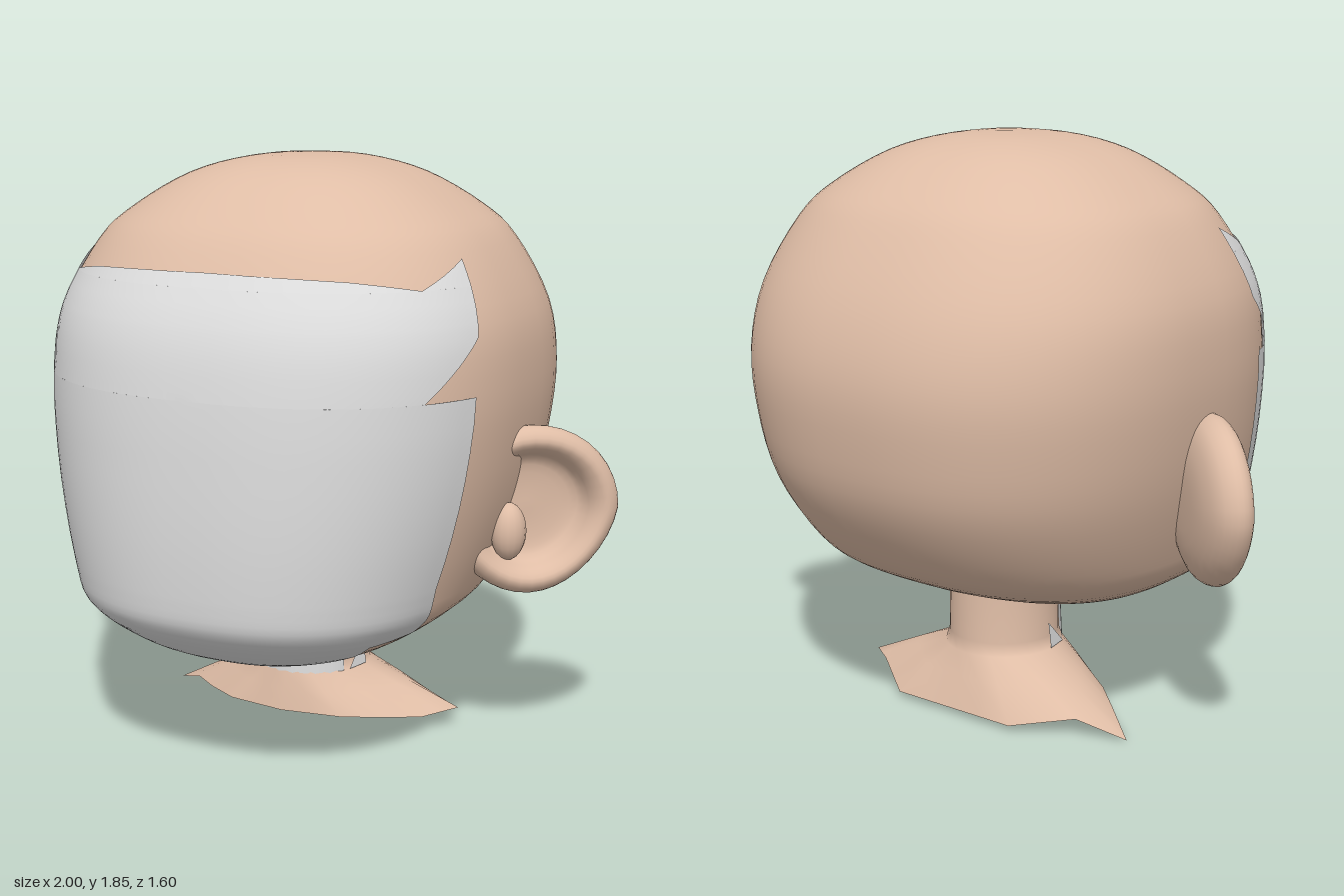
import * as THREE from 'three';
import { mergeVertices } from 'three/addons/utils/BufferGeometryUtils.js';

const N = 2.4; // squareness of the skull's horizontal sections

// skull sections: height, half width, front z, back z
const SECTIONS = [
  [0.32, 0, 0.27, 0.27], [0.325, 0.18, 0.42, 0.12], [0.35, 0.27, 0.53, 0], [0.4, 0.43, 0.64, -0.2],
  [0.5, 0.58, 0.765, -0.46], [0.6, 0.635, 0.79, -0.6], [0.8, 0.7, 0.795, -0.735], [1.0, 0.74, 0.787, -0.785],
  [1.2, 0.757, 0.77, -0.793], [1.4, 0.735, 0.72, -0.735], [1.6, 0.635, 0.6, -0.615], [1.7, 0.53, 0.5, -0.52],
  [1.8, 0.36, 0.345, -0.36], [1.85, 0.18, 0.18, -0.2], [1.863, 0, -0.03, -0.03],
];

// smooth the sections into a dense table
function denseSections(steps) {
  const curve = (k) => new THREE.CatmullRomCurve3(
    SECTIONS.map((s) => new THREE.Vector3(s[1], s[0], s[k])), false, 'catmullrom', 0.5);
  const front = curve(2), back = curve(3);
  return Array.from({ length: steps + 1 }, (_, i) => {
    const a = front.getPoint(i / steps), b = back.getPoint(i / steps);
    return { y: a.y, w: Math.max(a.x, 0), c: (a.z + b.z) / 2, d: Math.max((a.z - b.z) / 2, 0) };
  });
}

function sectionAt(table, y) {
  let i = 0;
  while (i < table.length - 2 && table[i + 1].y < y) i++;
  const a = table[i], b = table[i + 1], L = THREE.MathUtils.lerp;
  const t = THREE.MathUtils.clamp((y - a.y) / (b.y - a.y || 1), 0, 1);
  return { y, w: L(a.w, b.w, t), c: L(a.c, b.c, t), d: L(a.d, b.d, t) };
}

const power = (v, e) => Math.sign(v) * Math.abs(v) ** e;
const pointOn = (s, angle, lift = 0) => [
  (s.w + lift) * power(Math.sin(angle), 2 / N), s.y, s.c + (s.d + lift) * power(Math.cos(angle), 2 / N)];
const angleAt = (s, z) => Math.acos(power(THREE.MathUtils.clamp((z - s.c) / (s.d || 1), -1, 1), N / 2));

// skin a grid of points: rows run upward, columns run from +z towards +x
function gridGeometry(rows) {
  const n = rows[0].length, index = [];
  for (let i = 0; i < rows.length - 1; i++) {
    for (let j = 0; j < n - 1; j++) {
      const a = i * n + j, d = a + n;
      index.push(a, a + 1, d, a + 1, d + 1, d);
    }
  }
  const g = new THREE.BufferGeometry();
  g.setAttribute('position', new THREE.Float32BufferAttribute(rows.flat(2), 3));
  g.setIndex(index);
  const merged = mergeVertices(g, 1e-5);
  merged.computeVertexNormals();
  return merged;
}

// insert evenly spaced rows between the listed ones
function subdivide(list, steps) {
  const out = [];
  for (let i = 0; i < list.length - 1; i++) {
    for (let k = 0; k < steps; k++) out.push(list[i].map((v, m) => v + (list[i + 1][m] - v) * k / steps));
  }
  out.push(list[list.length - 1]);
  return out;
}

export function createModel() {
  const model = new THREE.Group();
  const skin = new THREE.MeshStandardMaterial({ color: 0xdfbda6, side: THREE.DoubleSide });
  skin.name = 'skin';
  const plate = new THREE.MeshStandardMaterial({ color: 0xdddddd, side: THREE.DoubleSide });
  plate.name = 'pale grey';
  const add = (name, geometry, material, parent = model) => {
    const mesh = new THREE.Mesh(geometry, material);
    mesh.name = name;
    parent.add(mesh);
    return mesh;
  };

  // skull
  const table = denseSections(56);
  const COLS = 72;
  add('head', gridGeometry(table.map((s) =>
    Array.from({ length: COLS + 1 }, (_, j) => pointOn(s, (j % COLS) / COLS * Math.PI * 2)))), skin);

  // face: rows of height and the z where its jagged side edge lies
  const edge = [[0.345, 0.53], [0.4, 0.45], [0.45, 0.49], [0.47, 0.35], [0.62, 0.37], [1.2, 0.33],
    [1.2, 0.5], [1.37, 0.3], [1.51, 0.253], [1.51, 0.42], [1.54, 0.55], [1.555, 0.66]];
  add('face', gridGeometry(subdivide(edge, 7).map(([y, z]) => {
    const s = sectionAt(table, y), a = angleAt(s, z);
    return Array.from({ length: 41 }, (_, j) => pointOn(s, a * (j / 20 - 1), 0.007));
  })), plate);

  // pointed upper corners of the face
  const corner = gridGeometry(subdivide([[1.51, 0.42, 0.253], [1.585, 0.23, 0.23]], 4).map(([y, z0, z1]) => {
    const s = sectionAt(table, y), a = angleAt(s, z0), b = angleAt(s, z1);
    return Array.from({ length: 6 }, (_, j) => pointOn(s, a + (b - a) * j / 5, 0.007));
  }));
  for (const side of [1, -1]) add(side > 0 ? 'leftFaceCorner' : 'rightFaceCorner', corner, plate).scale.x = side;

  // ear: rounded back, raised rim and hollow front
  const profile = new THREE.SplineCurve([[0, -0.085], [0.5, -0.08], [0.85, -0.05], [0.99, 0], [0.96, 0.04],
    [0.83, 0.06], [0.7, 0.035], [0.58, -0.02], [0.3, -0.035], [0, -0.035]].map((p) => new THREE.Vector2(...p)));
  const lathePoints = profile.getPoints(27).map((p) => new THREE.Vector2(Math.max(p.x, 0), p.y));
  const ear = new THREE.LatheGeometry(lathePoints, 36);
  const pos = ear.attributes.position;
  for (let i = 0; i < pos.count; i++) {
    const z = pos.getZ(i), taper = 1 - 0.16 * Math.max(z, 0);
    pos.setXYZ(i, pos.getX(i) * 0.285 * taper, pos.getY(i), z * 0.265);
  }
  ear.deleteAttribute('uv');
  ear.deleteAttribute('normal');
  const earShape = mergeVertices(ear, 1e-5);
  earShape.applyMatrix4(new THREE.Matrix4().makeBasis(
    new THREE.Vector3(0.782, 0, -0.623), new THREE.Vector3(0.623, 0, 0.782), new THREE.Vector3(0, -1, 0)));
  earShape.translate(0.76, 0.8, 0);
  earShape.computeVertexNormals();
  for (const side of [1, -1]) {
    const group = new THREE.Group();
    group.name = side > 0 ? 'leftEar' : 'rightEar';
    group.scale.x = side;
    add('earShell', earShape, skin, group);
    const flap = add('earFlap', new THREE.SphereGeometry(1, 16, 12), skin, group);
    flap.scale.set(0.055, 0.09, 0.06);
    flap.position.set(0.71, 0.73, 0.035);
    model.add(group);
  }

  // neck flowing into the ragged shoulder skin
  const hem = subdivide([[0, 0.08, 0.19], [0.2, 0.08, 0.16], [0.33, 0.07, 0.07], [0.41, 0.06, -0.01],
    [0.49, 0.07, -0.12], [0.4, 0.07, -0.18], [0.23, 0.03, -0.3], [0, 0.03, -0.3], [-0.23, 0.03, -0.3],
    [-0.42, 0.07, -0.2], [-0.56, 0.01, -0.12], [-0.43, 0.06, -0.02], [-0.33, 0.07, 0.07], [-0.2, 0.08, 0.16],
    [0, 0.08, 0.19]], 2);
  const neckRing = (y, r) => hem.map((_, j) => {
    const a = (j % (hem.length - 1)) / (hem.length - 1) * Math.PI * 2;
    return [r * Math.sin(a), y, -0.035 + r * 1.03 * Math.cos(a)];
  });
  const base = neckRing(0.2, 0.19);
  const middle = base.map((p, j) => p.map((v, m) =>
    m === 1 ? 0.145 + (hem[j][1] - 0.07) * 0.4 : v + (hem[j][m] - v) * 0.45));
  add('neckAndShoulders', gridGeometry([hem, middle, base, neckRing(0.24, 0.178), neckRing(0.42, 0.175)]), skin);

  // grey throat panel and small side patches
  const throat = new THREE.CylinderGeometry(0.181, 0.19, 0.2, 16, 1, true, -Math.PI / 3, Math.PI * 2 / 3);
  throat.scale(1, 1, 1.03);
  throat.translate(0, 0.275, -0.035);
  add('throatPanel', throat, plate);
  const patch = new THREE.BufferGeometry();
  patch.setAttribute('position', new THREE.Float32BufferAttribute(
    [0.178, 0.205, 0.05, 0.196, 0.205, -0.035, 0.184, 0.29, -0.035], 3));
  patch.setIndex([0, 1, 2]);
  patch.computeVertexNormals();
  for (const side of [1, -1]) add(side > 0 ? 'leftNeckPatch' : 'rightNeckPatch', patch, plate).scale.x = side;

  return model;
}
